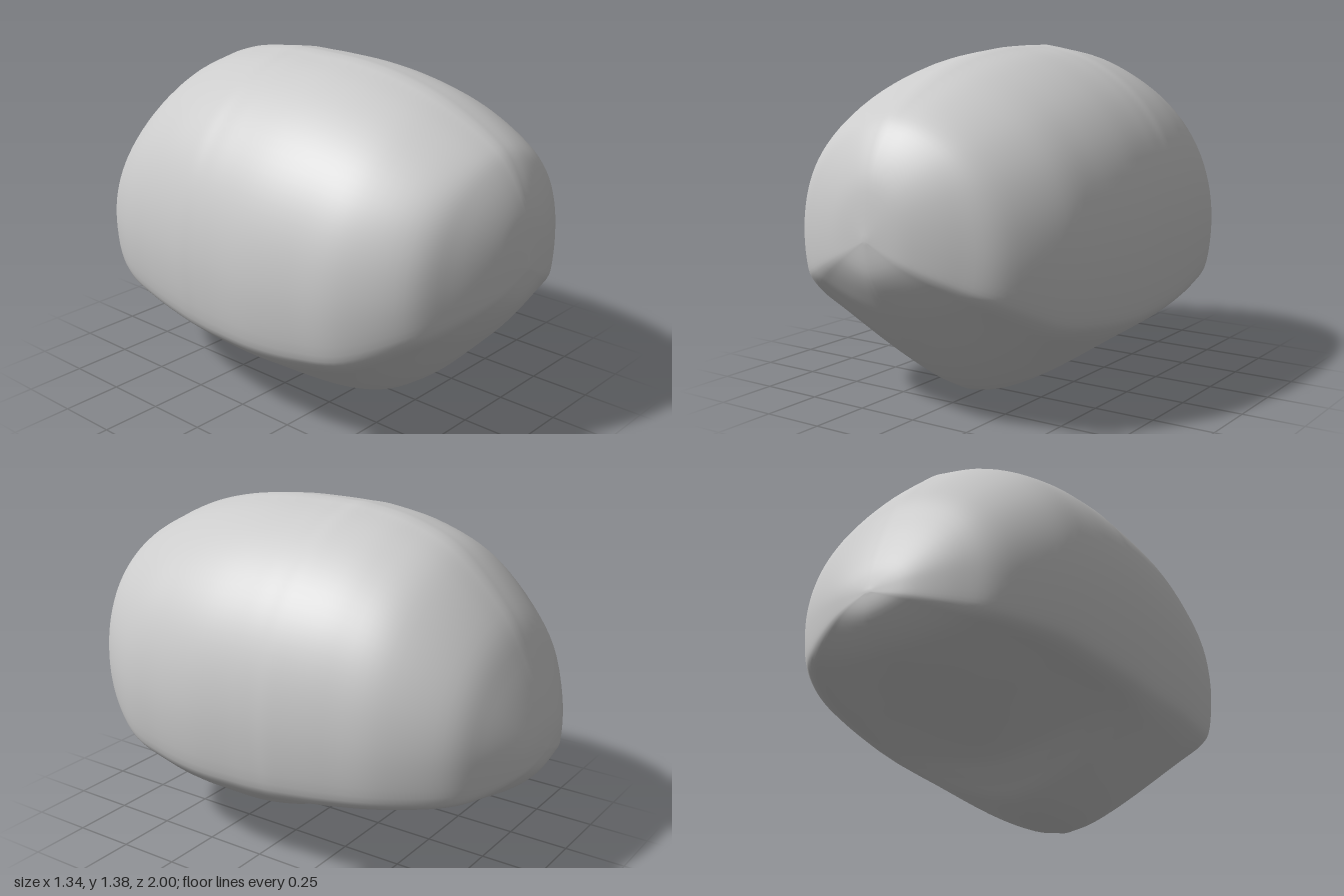
import * as THREE from 'three';

// Stations from back to front: z, top, bottom, half width, height of widest point, height of lower rim
const STATIONS = [
  [-1, 0.54, 0.54, 0, 0.54, 0.54],
  [-0.98, 0.66, 0.455, 0.16, 0.55, 0.49],
  [-0.9, 0.87, 0.37, 0.335, 0.58, 0.44],
  [-0.8, 1.05, 0.33, 0.46, 0.6, 0.41],
  [-0.6, 1.25, 0.285, 0.575, 0.62, 0.385],
  [-0.4, 1.34, 0.245, 0.625, 0.63, 0.36],
  [-0.2, 1.375, 0.19, 0.655, 0.63, 0.34],
  [-0.1, 1.378, 0.12, 0.661, 0.63, 0.33],
  [0, 1.378, 0.045, 0.665, 0.63, 0.325],
  [0.2, 1.37, 0, 0.668, 0.62, 0.325],
  [0.4, 1.34, 0.03, 0.645, 0.62, 0.34],
  [0.6, 1.28, 0.16, 0.6, 0.63, 0.38],
  [0.8, 1.18, 0.355, 0.48, 0.67, 0.49],
  [0.9, 1.09, 0.47, 0.335, 0.7, 0.56],
  [0.975, 0.93, 0.59, 0.16, 0.72, 0.64],
  [1, 0.72, 0.72, 0, 0.72, 0.72],
];
const SUB = 6, HALF = 48;

// Smooth interpolation of one column between neighbouring stations
function sample(u, k) {
  const n = STATIONS.length - 1;
  const i = Math.min(Math.floor(u), n - 1), t = u - i;
  const at = (j) => STATIONS[Math.max(0, Math.min(n, j))][k];
  const a = at(i - 1), b = at(i), c = at(i + 1), d = at(i + 2);
  return b + 0.5 * t * (c - a + t * (2 * a - 5 * b + 4 * c - d + t * (3 * (b - c) + d - a)));
}

// Left half of a cross-section: domed top, upright flank, rounded rim, keeled belly
function halfSection(top, bottom, w, wide, rim) {
  const pts = [];
  for (let i = 0; i <= 6; i++) {
    const a = (Math.PI / 2) * (1 - i / 6);
    pts.push([w * Math.cos(a), wide + (top - wide) * (Math.sin(a) + 0.015 * Math.sin(4 * a))]);
  }
  pts.push([0.97 * w, rim + 0.27 * (wide - rim)], [0.9 * w, rim]);
  for (const [x, f] of [[0.73, 0.75], [0.4, 0.31], [0.16, 0.07], [0, 0]]) {
    pts.push([x * w, bottom + (rim - bottom) * f]);
  }
  const curve = new THREE.CatmullRomCurve3(pts.map(([x, y]) => new THREE.Vector3(x, y, 0)), false, 'catmullrom', 0.5);
  return Array.from({ length: HALF + 1 }, (_, i) => curve.getPoint(i / HALF));
}

function bodyGeometry() {
  const pos = [], index = [];
  const ring = HALF * 2, rows = (STATIONS.length - 1) * SUB;
  const point = (u) => [0, sample(u, 1), sample(u, 0)];
  pos.push(...point(0));
  for (let r = 1; r < rows; r++) {
    const u = r / SUB;
    const [z, top, bottom, w, wide, rim] = [0, 1, 2, 3, 4, 5].map((k) => sample(u, k));
    const half = halfSection(top, bottom, w, wide, rim);
    for (const p of half) pos.push(p.x, p.y, z);
    for (let i = HALF - 1; i > 0; i--) pos.push(-half[i].x, half[i].y, z);
  }
  pos.push(...point(rows / SUB));
  const last = pos.length / 3 - 1;
  const id = (r, i) => 1 + (r - 1) * ring + (i % ring);
  for (let i = 0; i < ring; i++) {
    // Closing fans at the back and front tips
    index.push(0, id(1, i), id(1, i + 1));
    index.push(last, id(rows - 1, i + 1), id(rows - 1, i));
    for (let r = 1; r < rows - 1; r++) {
      const a = id(r, i), b = id(r, i + 1), c = id(r + 1, i + 1), d = id(r + 1, i);
      index.push(a, d, c, a, c, b);
    }
  }
  const geo = new THREE.BufferGeometry();
  geo.setAttribute('position', new THREE.Float32BufferAttribute(pos, 3));
  geo.setIndex(index);
  geo.computeVertexNormals();
  return geo;
}

export function createModel() {
  const group = new THREE.Group();
  group.name = 'smoothBrainShape';
  const body = new THREE.Mesh(bodyGeometry(), new THREE.MeshStandardMaterial({ color: 0xcccccc }));
  body.name = 'body';
  group.add(body);
  return group;
}
